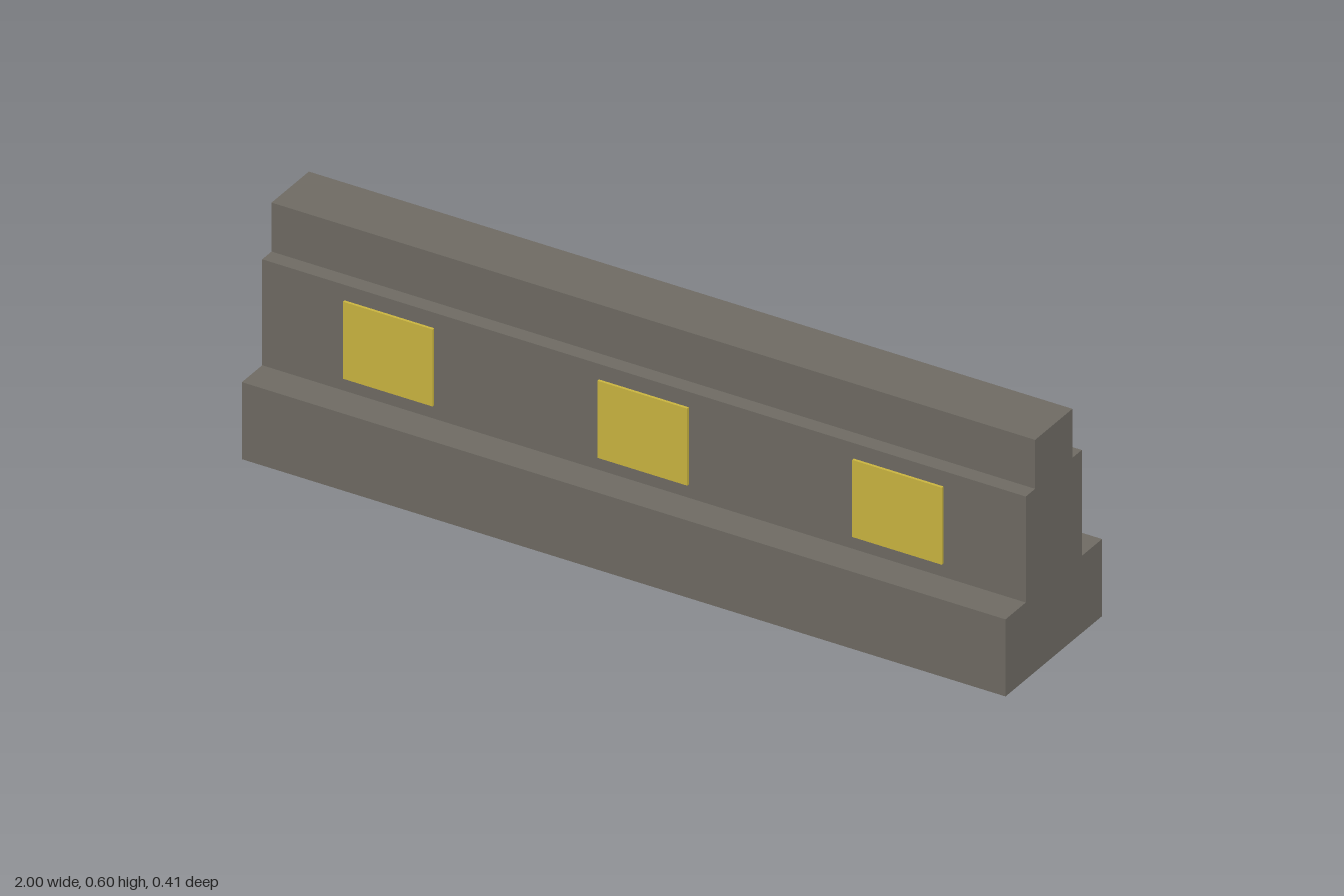
import * as THREE from 'three';

export function createModel() {
  const concrete = new THREE.MeshStandardMaterial({ color: 0x6e6a63 });
  concrete.name = 'concrete grey';
  const yellow = new THREE.MeshStandardMaterial({ color: 0xc9b440 });
  yellow.name = 'marker yellow';

  const group = new THREE.Group();
  group.name = 'barrier';

  // Stepped wall: half profile (half depth, height), mirrored and extruded along x
  const half = [[0.207, 0], [0.207, 0.2], [0.12, 0.2], [0.12, 0.475], [0.08, 0.475], [0.08, 0.602]];
  const mirrored = half.map(([d, y]) => [-d, y]).reverse();
  const profile = new THREE.Shape([...half, ...mirrored].map(([d, y]) => new THREE.Vector2(d, y)));
  const wallGeometry = new THREE.ExtrudeGeometry(profile, { depth: 2, bevelEnabled: false });
  wallGeometry.translate(0, 0, -1).rotateY(Math.PI / 2);
  const wall = new THREE.Mesh(wallGeometry, concrete);
  wall.name = 'steppedWall';
  group.add(wall);

  // Marker plates on the front face
  const plateGeometry = new THREE.BoxGeometry(0.235, 0.2, 0.007);
  ['right', 'middle', 'left'].forEach((side, i) => {
    const plate = new THREE.Mesh(plateGeometry, yellow);
    plate.name = `${side}MarkerPlate`;
    plate.position.set((i - 1) * 0.667, 0.335, 0.1235);
    group.add(plate);
  });

  return group;
}
